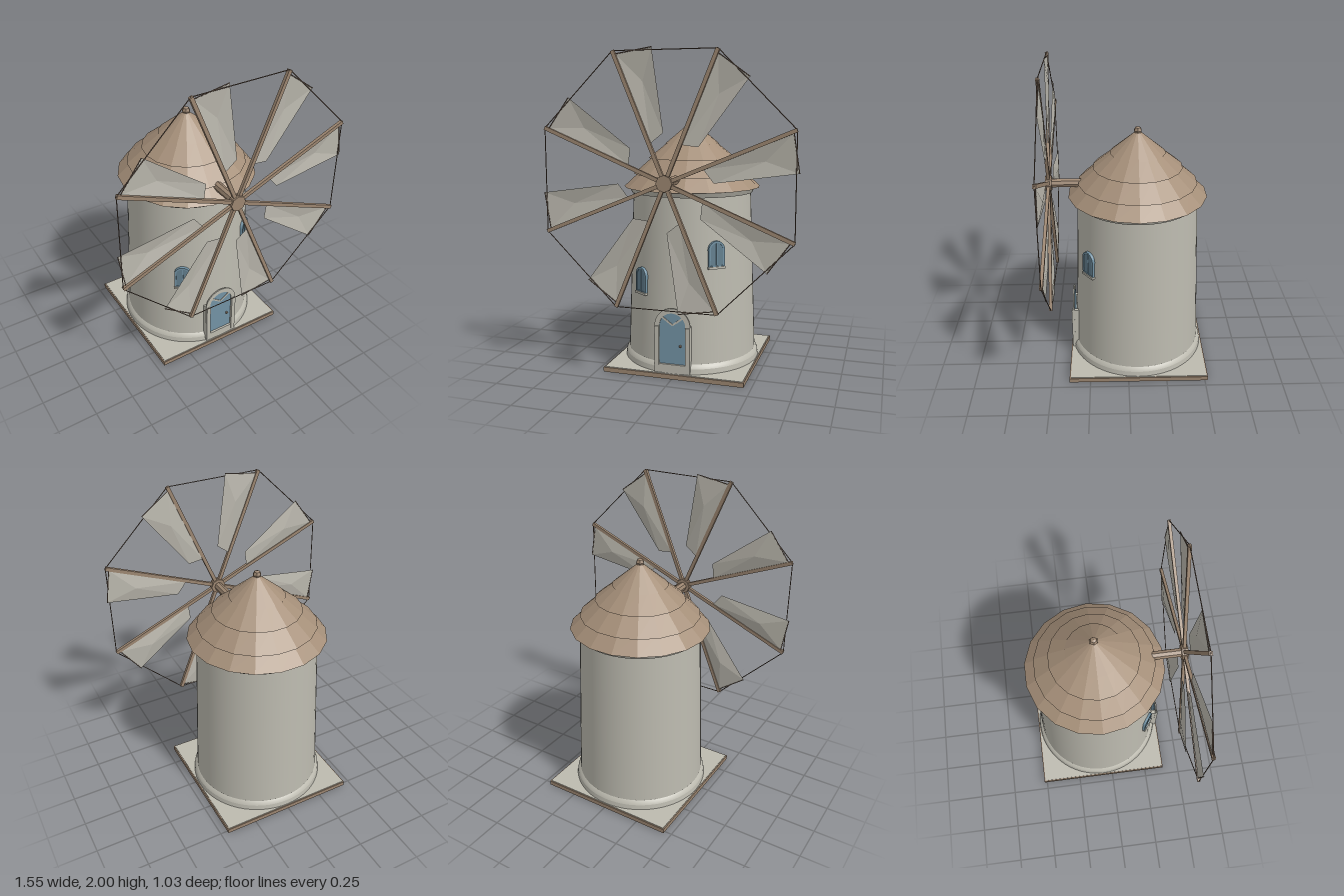
import * as THREE from 'three';

const mat = (name, color, extra = {}) => new THREE.MeshStandardMaterial({ name, color, ...extra });

export function createModel() {
  const plaster = mat('plaster', 0xbcbaaf);
  const canvas = mat('sail canvas', 0xbab7ad, { side: THREE.DoubleSide, flatShading: true });
  const roofMat = mat('roof shingle', 0xa58f79, { flatShading: true });
  const wood = mat('wood', 0x9b8570, { flatShading: true });
  const dark = mat('dark wood', 0x6d5b4e);
  const blue = mat('blue paint', 0x7292a4);
  const glass = mat('window glass', 0x64808f);

  const model = new THREE.Group();
  model.name = 'windmill';
  const add = (parent, name, geo, material, x = 0, y = 0, z = 0) => {
    const m = new THREE.Mesh(geo, material);
    m.name = name;
    m.position.set(x, y, z);
    parent.add(m);
    return m;
  };
  const box = (w, h, d) => new THREE.BoxGeometry(w, h, d);
  const V = (x, y, z = 0) => new THREE.Vector3(x, y, z);

  // Round bar between two points
  const rod = (parent, name, a, b, r, material, sides = 5) => {
    const d = b.clone().sub(a);
    const m = add(parent, name, new THREE.CylinderGeometry(r, r, d.length(), sides), material);
    m.position.copy(a).add(b).multiplyScalar(0.5);
    m.quaternion.setFromUnitVectors(V(0, 1), d.normalize());
    return m;
  };

  // Round-headed outline: half width r, from y0 up to the springing y1
  const archPath = (P, r, y0, y1) => {
    const p = new P();
    p.moveTo(-r, y0);
    p.lineTo(r, y0);
    p.lineTo(r, y1);
    p.absarc(0, y1, r, 0, Math.PI, false);
    p.lineTo(-r, y0);
    return p;
  };
  const archGeo = (r, y0, y1, depth, hole = 0, yHole = y0) => {
    const s = archPath(THREE.Shape, r, y0, y1);
    if (hole) s.holes.push(archPath(THREE.Path, hole, yHole, y1));
    return new THREE.ExtrudeGeometry(s, { depth, bevelEnabled: false, curveSegments: 12 });
  };

  const cz = -0.066; // tower axis

  // Base slab: wooden edges, plaster-coloured paving slightly inset
  add(model, 'baseSlab', box(0.905, 0.029, 0.905), [wood, wood, wood, plaster, wood, wood], 0, 0.0145, cz);
  add(model, 'basePaving', box(0.89, 0.006, 0.89), plaster, 0, 0.03, cz);

  // Tapered tower, skirt and cornice
  const lathe = (pts) => new THREE.LatheGeometry(pts.map(([x, y]) => new THREE.Vector2(x, y)), 64);
  add(model, 'tower', lathe([[0.422, 0.03], [0.382, 1.14]]), plaster, 0, 0, cz);
  add(model, 'skirtFace', lathe([[0.443, 0.03], [0.438, 0.065]]), plaster, 0, 0, cz);
  add(model, 'skirtTop', lathe([[0.438, 0.065], [0.431, 0.08], [0.419, 0.092]]), plaster, 0, 0, cz);
  add(model, 'cornice', new THREE.CylinderGeometry(0.41, 0.394, 0.034, 64), plaster, 0, 1.138, cz);

  // Tiered shingle roof: bottom radius, bottom height, top radius, top height
  const tiers = [
    [0.443, 1.155, 0.345, 1.246],
    [0.379, 1.238, 0.255, 1.346],
    [0.283, 1.338, 0.155, 1.441],
    [0.175, 1.431, 0.015, 1.565],
  ];
  tiers.forEach(([rb, yb, rt, yt], i) => {
    const t = add(model, `roofTier${i + 1}`, new THREE.CylinderGeometry(rt, rb, yt - yb, 18), roofMat, 0, (yb + yt) / 2, cz);
    t.rotation.y = Math.PI / 18;
  });
  add(model, 'finialNeck', new THREE.CylinderGeometry(0.016, 0.02, 0.03, 8), wood, 0, 1.555, cz);
  add(model, 'finial', new THREE.SphereGeometry(0.027, 6, 4), wood, 0, 1.571, cz);

  // Door with arched surround
  const door = new THREE.Group();
  door.name = 'door';
  model.add(door);
  add(door, 'doorPanel', archGeo(0.086, 0.085, 0.33, 0.006), blue, 0, 0, 0.356);
  add(door, 'doorArch', archGeo(0.115, 0.05, 0.33, 0.008, 0.084, 0.09), plaster, 0, 0, 0.36);
  add(door, 'threshold', box(0.226, 0.055, 0.05), plaster, 0, 0.063, 0.351);
  for (const s of [-1, 1]) {
    add(door, 'doorPost', box(0.028, 0.28, 0.06), plaster, s * 0.099, 0.19, 0.348);
    const bar = add(door, 'doorTracery', box(0.09, 0.011, 0.006), plaster, s * 0.037, 0.366, 0.363);
    bar.rotation.z = s * 0.62;
  }
  add(door, 'doorKnob', new THREE.SphereGeometry(0.009, 6, 4), wood, 0.052, 0.21, 0.368);

  // Arched windows with sill, set around the wall
  for (const [deg, y] of [[38, 0.685], [-35, 0.495]]) {
    const a = THREE.MathUtils.degToRad(deg);
    const r = 0.422 - 0.035 * (y + 0.08);
    const w = new THREE.Group();
    w.name = 'window';
    w.position.set(Math.sin(a) * r, y, cz + Math.cos(a) * r);
    w.rotation.y = a;
    model.add(w);
    add(w, 'windowPane', archGeo(0.045, 0.01, 0.12, 0.014), glass, 0, 0, -0.004);
    add(w, 'windowFrame', archGeo(0.053, 0.01, 0.12, 0.024, 0.041, 0.02), blue, 0, 0, -0.01);
    add(w, 'windowMullion', box(0.008, 0.14, 0.004), blue, 0, 0.088, 0.011);
    add(w, 'windowSill', box(0.11, 0.015, 0.036), plaster, 0, 0.0075, 0.002);
  }

  // Wind shaft and wheel
  const hubY = 1.225;
  rod(model, 'windShaft', V(0, hubY, 0.1), V(0, hubY, 0.49), 0.029, wood, 8);
  const wheel = new THREE.Group();
  wheel.name = 'sailWheel';
  wheel.position.set(0, hubY, 0.496);
  model.add(wheel);
  rod(wheel, 'hub', V(0, 0, -0.02), V(0, 0, 0.02), 0.05, wood, 8);

  // Sail: four corners and a slack middle, u along the spoke, v clockwise from it
  const corners = [[0.245, 0.008], [0.272, 0.103], [0.743, 0.225], [0.795, 0.008]];
  const sailGeo = new THREE.BufferGeometry();
  const pts = [...corners.map(([u, v]) => [u, -v, 0]), [0.59, -0.095, -0.016]];
  sailGeo.setAttribute('position', new THREE.Float32BufferAttribute(pts.flat(), 3));
  sailGeo.setIndex([0, 1, 4, 1, 2, 4, 2, 3, 4, 3, 0, 4]);
  sailGeo.computeVertexNormals();

  const R = 0.818;
  for (let i = 0; i < 8; i++) {
    const arm = new THREE.Group();
    arm.name = 'sailArm';
    arm.rotation.z = (i + 0.5) * Math.PI / 4;
    wheel.add(arm);
    add(arm, 'spoke', box(R, 0.023, 0.02), wood, R / 2, 0, 0);
    add(arm, 'sail', sailGeo, canvas, 0, 0, -0.004);
    rod(arm, 'sailTipRope', V(0.795, -0.008, -0.004), V(0.743, -0.225, -0.004), 0.003, dark);
    const c = Math.SQRT1_2 * R;
    rod(arm, 'rimWire', V(R, 0), V(c, c), 0.003, dark);
  }
  return model;
}
